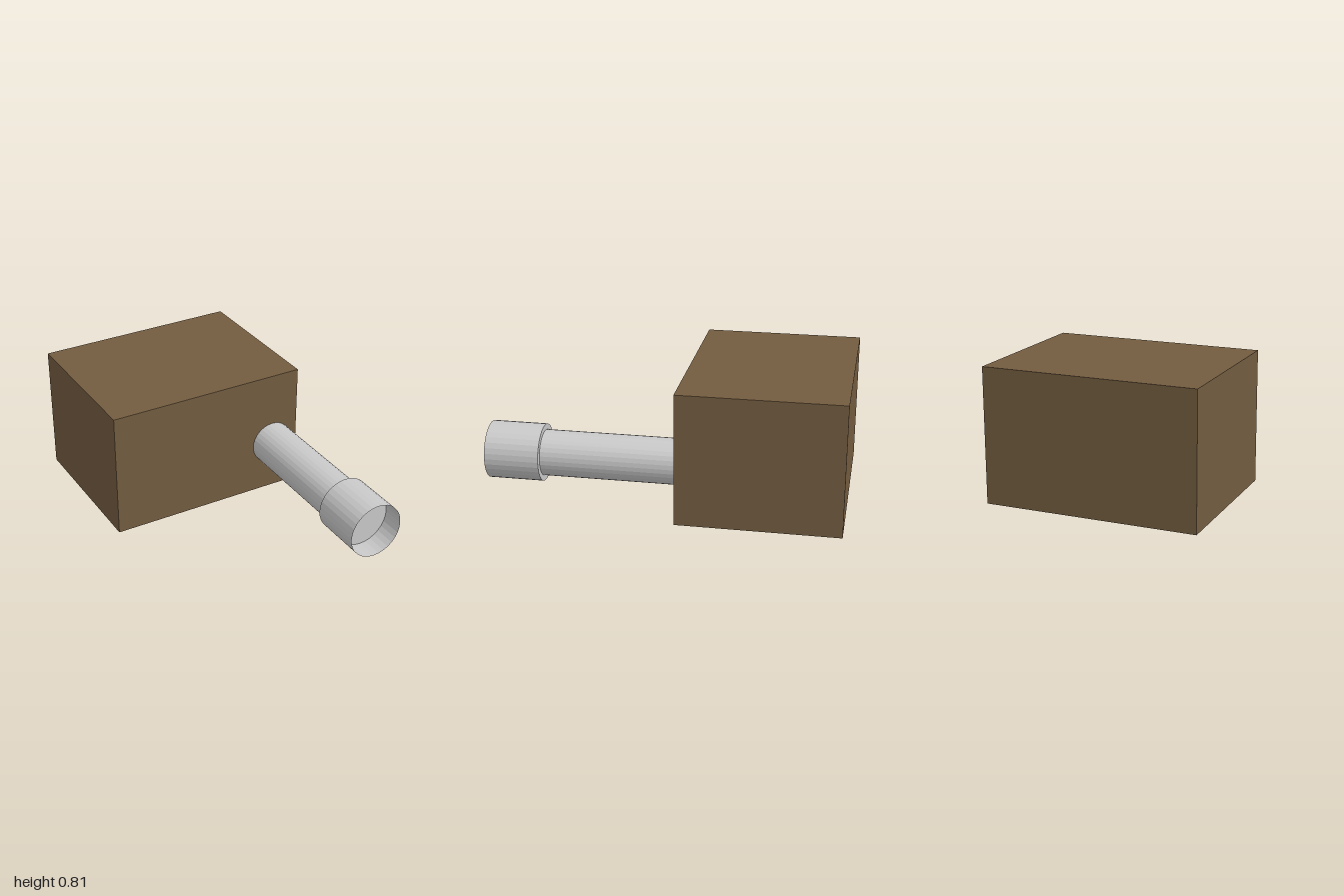
import * as THREE from 'three';

export function createModel() {
  const model = new THREE.Group();
  const brown = new THREE.MeshStandardMaterial({ color: 0x735c40, flatShading: true });
  brown.name = 'brown';
  const grey = new THREE.MeshStandardMaterial({ color: 0xc9c9c9, flatShading: true, side: THREE.DoubleSide });
  grey.name = 'light grey';

  const add = (name, geometry, material, x, y, z) => {
    const mesh = new THREE.Mesh(geometry, material);
    mesh.name = name;
    mesh.position.set(x, y, z);
    model.add(mesh);
    return mesh;
  };

  // Main body
  add('body', new THREE.BoxGeometry(1.21, 0.76, 0.925), brown, 0, 0.432, -0.5375);

  // Tube pointing forward, offset to the model's left
  const tubeX = 0.435, tubeY = 0.36, sides = 32;
  const tube = new THREE.CylinderGeometry(0.13, 0.13, 0.785, sides, 1, true).rotateX(Math.PI / 2);
  add('tube', tube, grey, tubeX, tubeY, 0.3075);

  // Open cup at the tip: rear ring, thin wall and recessed floor
  const cup = new THREE.CylinderGeometry(0.162, 0.162, 0.31, sides, 1, true).rotateX(Math.PI / 2);
  add('tipCup', cup, grey, tubeX, tubeY, 0.845);
  add('tipRearRing', new THREE.RingGeometry(0.13, 0.162, sides).rotateY(Math.PI), grey, tubeX, tubeY, 0.69);
  add('tipFloor', new THREE.CircleGeometry(0.162, sides), grey, tubeX, tubeY, 0.87);

  // Two round runners sunk into the underside
  for (const [name, z] of [['frontRunner', -0.303], ['rearRunner', -0.74]]) {
    const runner = new THREE.CylinderGeometry(0.09, 0.09, 0.925, sides).rotateZ(Math.PI / 2);
    add(name, runner, grey, 0, 0.09, z);
  }

  return model;
}
